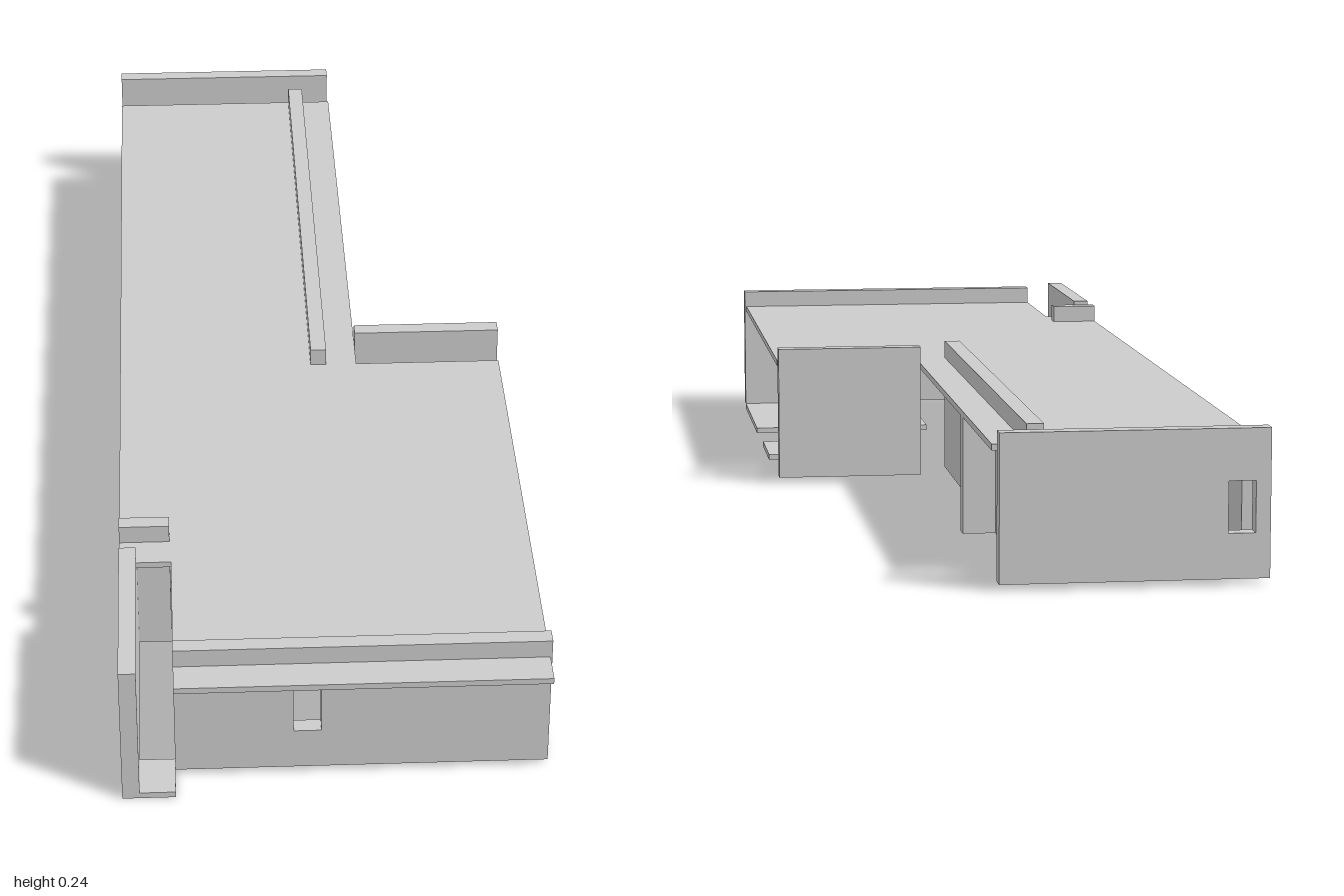
import * as THREE from 'three';

const material = new THREE.MeshStandardMaterial({ color: 0xcccccc, flatShading: true });

// Wall heights: base, underside of roof, top of roof, top of parapet
const BASE = 0.01, CEIL = 0.2, ROOF = 0.21, TOP = 0.24;
const T = 0.027; // wall thickness

export function createModel() {
  const model = new THREE.Group();
  model.name = 'building';

  const add = (name, geometry) => {
    const mesh = new THREE.Mesh(geometry, material);
    mesh.name = name;
    model.add(mesh);
    return mesh;
  };

  // Box given by its limits on each axis
  const block = (name, x0, x1, y0, y1, z0, z1) => {
    const g = new THREE.BoxGeometry(x1 - x0, y1 - y0, z1 - z0);
    g.translate((x0 + x1) / 2, (y0 + y1) / 2, (z0 + z1) / 2);
    return add(name, g);
  };

  // Wall in the XY plane with one window opening, extruded towards +z
  const windowWall = (a0, a1, w0, w1) => {
    const shape = new THREE.Shape([
      [a0, BASE], [a1, BASE], [a1, TOP], [a0, TOP],
    ].map(p => new THREE.Vector2(...p)));
    shape.holes.push(new THREE.Path([
      [w0, 0.08], [w0, 0.16], [w1, 0.16], [w1, 0.08],
    ].map(p => new THREE.Vector2(...p))));
    return new THREE.ExtrudeGeometry(shape, { depth: T, bevelEnabled: false });
  };

  // Flat roof outline in (x, z), with the open corner and the narrow wing
  const outline = [
    [-0.333, -0.917], [0.08, -0.917], [0.08, 0.08], [0.33, 0.08], [0.33, 1],
    [-0.25, 1], [-0.25, 0.667], [-0.333, 0.667],
  ].map(([x, z]) => new THREE.Vector2(x, -z));
  const roof = new THREE.ExtrudeGeometry(new THREE.Shape(outline), { depth: ROOF - CEIL, bevelEnabled: false });
  roof.rotateX(-Math.PI / 2).translate(0, CEIL, 0);
  add('roof', roof);

  // Walls with windows: front, far end, and the long wall of the wing
  add('frontWall', windowWall(-0.25, 0.333, -0.065, -0.022).translate(0, 0, 0.918));
  add('endWall', windowWall(-0.333, 0.08, -0.31, -0.268).translate(0, 0, -1));
  add('wingWall', windowWall(-0.08, 0.917, 0.432, 0.475).rotateY(Math.PI / 2));

  // Plain walls on the +x side
  block('sideWall', 0.223, 0.25, BASE, CEIL, 0.08, 0.918);
  block('crossWall', 0.08, 0.333, BASE, TOP, 0, T);
  block('wingFin', T, 0.08, BASE, CEIL, -0.58, -0.553);

  // Row of panels on the -x side, split by narrow slots
  const panels = [
    [-0.917, -0.555], [-0.5, -0.302], [-0.25, -0.135],
    [-0.085, 0.28], [0.333, 0.445], [0.5, 0.667],
  ];
  for (const [z0, z1] of panels) block('sidePanel', -0.333, -0.306, BASE, CEIL, z0, z1);
  block('courtWall', -0.333, -0.306, BASE, TOP, 0.667, 1);

  // Fins reaching inward from the panels
  for (const z of [-0.329, -0.162, 0.003, 0.253, 0.418]) {
    block('panelFin', -0.306, -0.25, BASE, CEIL, z, z + T);
  }
  block('tallFin', -0.333, -0.252, BASE, TOP, 0.583, 0.61);

  // Thin floor pads
  block('floorPad', 0, 0.333, 0, BASE, 0.585, 0.918);
  block('floorPad', 0.167, 0.333, 0, BASE, 0.26, 0.417);
  block('floorPad', -0.333, -0.085, 0, BASE, -0.917, -0.583);
  block('entryPad', -0.333, -0.25, 0, BASE, 0.918, 1);

  return model;
}
